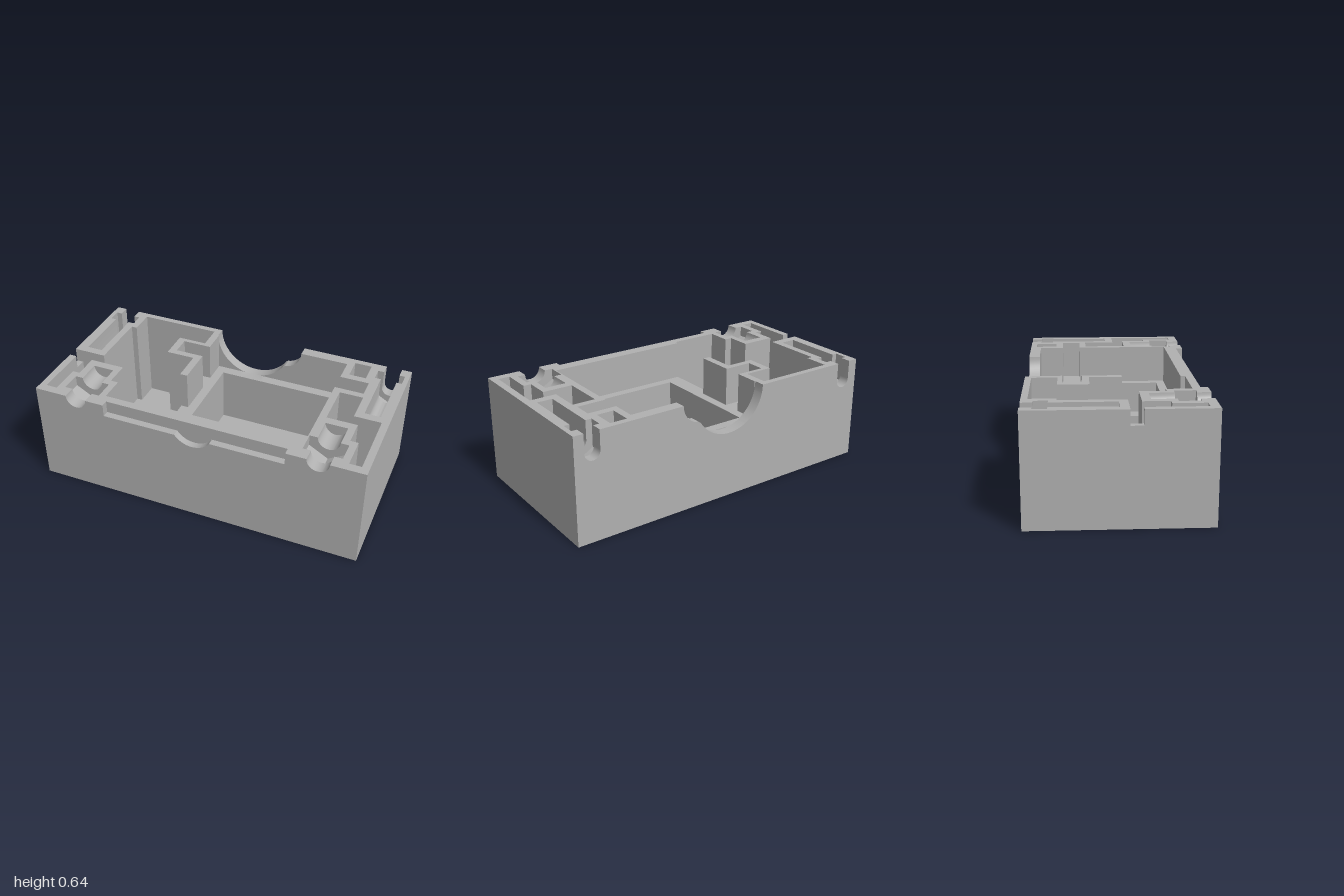
import * as THREE from 'three';
import { toCreasedNormals } from 'three/addons/utils/BufferGeometryUtils.js';

const X = 1, Z = 0.507, H = 0.64;      // half width, half depth, height
const DEEP = 0.06, LEDGE = 0.405;      // pocket floors

export function createModel() {
  const cuts = [];
  const xLines = [-X, X], zLines = [-Z, Z];

  // every cut removes what lies above its floor, a function of x
  const cut = (x0, x1, z0, z1, floor) => {
    cuts.push({ x0, x1, z0, z1, floor: typeof floor === 'number' ? () => floor : floor });
    xLines.push(x0, x1);
    zLines.push(z0, z1);
  };
  // round-bottomed groove along z
  const groove = (cx, cy, r, z0, z1, segments = 14) => {
    cut(cx - r, cx + r, z0, z1, x => cy - Math.sqrt(Math.max(0, r * r - (x - cx) ** 2)));
    for (let i = 1; i < segments; i++) xLines.push(cx - r * Math.cos(Math.PI * i / segments));
  };
  // hexagonal nut seat, one corner down
  const nutSeat = (cx, cy, halfWidth, z0, z1) => {
    const r = halfWidth * 2 / Math.sqrt(3);
    cut(cx - halfWidth, cx + halfWidth, z0, z1, x => cy - r + Math.abs(x - cx) / Math.sqrt(3));
    xLines.push(cx);
  };

  // large left compartment, with its corridor round the screw boss
  cut(-0.765, -0.28, -0.47, -0.32, DEEP);
  cut(-0.80, -0.455, -0.32, -0.14, DEEP);
  cut(-0.80, -0.28, -0.14, 0.12, DEEP);
  cut(-0.63, -0.28, 0.12, 0.27, DEEP);
  cut(-0.583, -0.28, 0.27, 0.417, DEEP);
  cut(-0.957, -0.80, 0.05, 0.12, DEEP);
  cut(-0.957, -0.845, 0.12, 0.27, DEEP);
  cut(-0.957, -0.89, 0.27, 0.455, DEEP);
  cut(-X, -0.957, 0.05, 0.12, 0.555); // notch in the side wall

  // right compartment: ledge with side niches and a sunken well
  cut(-0.235, 0.615, -0.44, 0.39, LEDGE);
  cut(-0.28, -0.235, 0.05, 0.39, LEDGE);
  cut(-0.41, -0.235, -0.293, -0.18, LEDGE);
  cut(0.615, 0.79, -0.293, -0.18, LEDGE);
  cut(-0.18, 0.555, -0.38, 0.335, DEEP);

  // hollows at the right end
  cut(0.658, 0.76, -0.47, -0.337, DEEP);
  cut(0.658, 0.797, -0.14, 0.05, DEEP);
  cut(0.658, 0.957, 0.05, 0.12, DEEP);
  cut(0.84, 0.957, 0.12, 0.27, DEEP);
  cut(0.887, 0.957, 0.27, 0.455, DEEP);

  // screw channels and nut seats, front and back on both sides
  for (const s of [-1, 1]) {
    groove(s * 0.734, H, 0.065, 0.17, Z);
    nutSeat(s * 0.734, H, 0.112, 0.31, 0.43);
    groove(s * 0.892, 0.525, 0.047, -Z, 0);
    nutSeat(s * 0.89, 0.525, 0.082, -0.442, -0.363);
  }

  // openings through the back wall
  groove(0, H, 0.24, -Z, -0.44, 28);
  groove(0.2, H, 0.12, -Z, -0.44, 20);

  // shallow recess and round relief in the front wall
  cut(-0.555, 0.55, 0.465, Z, 0.565);
  groove(0, H, 0.13, 0.465, Z, 24);
  const rim = Math.sqrt(0.13 ** 2 - (H - 0.565) ** 2);
  xLines.push(-rim, rim);

  const group = new THREE.Group();
  const grey = new THREE.MeshStandardMaterial({ color: 0xb0b0b0 });
  grey.name = 'grey plastic';
  const housing = new THREE.Mesh(carve(cuts, tidy(xLines), tidy(zLines)), grey);
  housing.name = 'lowerHousing';
  group.add(housing);
  return group;
}

// sorted grid lines without near duplicates
function tidy(lines) {
  return lines.sort((a, b) => a - b).filter((v, i, all) => i === 0 || v - all[i - 1] > 1e-5);
}

// block with its top lowered by the cuts, closed by upright walls
function carve(cuts, xs, zs) {
  const pos = [];
  const quad = (a, b, c, d) => pos.push(...a, ...b, ...c, ...a, ...c, ...d);
  const nx = xs.length - 1, nz = zs.length - 1;

  // heights of one cell at its two x edges
  const cells = [];
  for (let i = 0; i < nx; i++) {
    cells.push([]);
    for (let j = 0; j < nz; j++) {
      const mx = (xs[i] + xs[i + 1]) / 2, mz = (zs[j] + zs[j + 1]) / 2;
      const h = [H, H];
      for (const c of cuts) {
        if (mx < c.x0 || mx > c.x1 || mz < c.z0 || mz > c.z1) continue;
        h[0] = Math.min(h[0], c.floor(xs[i]));
        h[1] = Math.min(h[1], c.floor(xs[i + 1]));
      }
      cells[i].push(h);
    }
  }
  const at = (i, j) => (i < 0 || j < 0 || i >= nx || j >= nz ? [0, 0] : cells[i][j]);

  for (let i = 0; i <= nx; i++) {
    for (let j = 0; j <= nz; j++) {
      const x0 = xs[i], x1 = xs[i + 1], z0 = zs[j], z1 = zs[j + 1];
      const h = at(i, j);
      // top face
      if (i < nx && j < nz) {
        quad([x0, h[0], z0], [x0, h[0], z1], [x1, h[1], z1], [x1, h[1], z0]);
      }
      // wall across x, facing the lower side
      if (j < nz) {
        const a = at(i - 1, j)[1], b = h[0];
        if (Math.abs(a - b) > 1e-6) {
          quad([x0, b, z1], [x0, b, z0], [x0, a, z0], [x0, a, z1]);
        }
      }
      // wall across z, facing the lower side
      if (i < nx) {
        const a = at(i, j - 1), b = h;
        if (Math.abs(a[0] - b[0]) + Math.abs(a[1] - b[1]) > 1e-6) {
          quad([x0, b[0], z0], [x1, b[1], z0], [x1, a[1], z0], [x0, a[0], z0]);
        }
      }
    }
  }
  // underside
  quad([-X, 0, -Z], [X, 0, -Z], [X, 0, Z], [-X, 0, Z]);

  const geometry = new THREE.BufferGeometry();
  geometry.setAttribute('position', new THREE.Float32BufferAttribute(pos, 3));
  return toCreasedNormals(geometry, 0.4);
}
